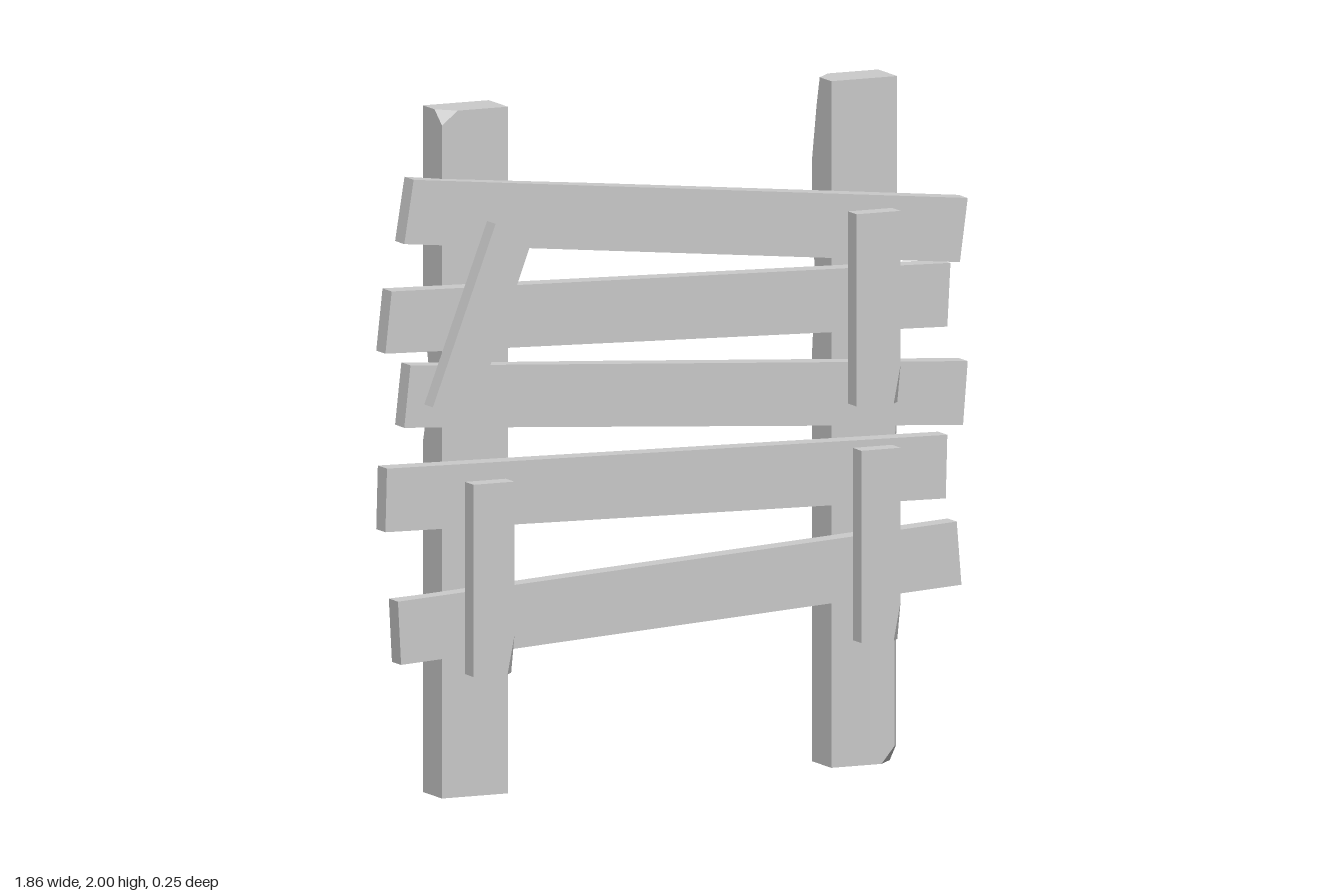
import * as THREE from 'three';

const material = new THREE.MeshStandardMaterial({ color: 0xcccccc, flatShading: true });

// Hewn timber lofted between two end edges, each [l, r] in the xy plane.
// levels: [t, frontL, frontR, backR, backL] = chip depth on each long edge at t along the bar.
function timber(name, [l0, r0], [l1, r1], zBack, zFront, levels) {
  const mix = (a, b, t) => [a[0] + (b[0] - a[0]) * t, a[1] + (b[1] - a[1]) * t];
  const rings = levels.map(([t, a, b, c, d]) => {
    const l = mix(l0, l1, t), r = mix(r0, r1, t);
    const w = Math.hypot(r[0] - l[0], r[1] - l[1]);
    const at = (s, z) => new THREE.Vector3(...mix(l, r, s / w), z);
    return [
      at(0, zFront - a), at(a, zFront), at(w - b, zFront), at(w, zFront - b),
      at(w, zBack + c), at(w - c, zBack), at(d, zBack), at(0, zBack + d),
    ];
  });
  const pos = [];
  const tri = (a, b, c) => {
    if (new THREE.Triangle(a, b, c).getArea() < 1e-7) return;
    for (const p of [a, b, c]) pos.push(p.x, p.y, p.z);
  };
  for (let i = 0; i + 1 < rings.length; i++) {
    const A = rings[i], B = rings[i + 1];
    for (let j = 0; j < 8; j++) {
      const k = (j + 1) % 8;
      tri(A[j], A[k], B[k]);
      tri(A[j], B[k], B[j]);
    }
  }
  // end caps
  const first = rings[0], last = rings[rings.length - 1];
  for (let j = 1; j < 7; j++) {
    tri(first[0], first[j + 1], first[j]);
    tri(last[0], last[j], last[j + 1]);
  }
  const geometry = new THREE.BufferGeometry();
  geometry.setAttribute('position', new THREE.Float32BufferAttribute(pos, 3));
  geometry.computeVertexNormals();
  const mesh = new THREE.Mesh(geometry, material);
  mesh.name = name;
  return mesh;
}

const upright = (name, x0, x1, y0, y1, zBack, zFront, levels) =>
  timber(name, [[x0, y0], [x1, y0]], [[x0, y1], [x1, y1]], zBack, zFront, levels);

export function createModel() {
  const group = new THREE.Group();
  group.name = 'brokenFence';

  // Posts with chipped edges
  group.add(
    upright('rightPost', -0.72, -0.51, 0, 2, -0.127, 0, [
      [0, 0, 0, 0.05, 0], [0.09, 0, 0, 0.02, 0], [0.14, 0, 0, 0, 0],
      [0.29, 0, 0, 0, 0], [0.35, 0, 0.035, 0, 0], [0.41, 0, 0, 0, 0],
      [0.51, 0, 0, 0, 0], [0.6, 0, 0, 0, 0.05], [0.7, 0, 0, 0, 0],
      [0.98, 0, 0, 0, 0], [1, 0.05, 0, 0, 0],
    ]),
    upright('leftPost', 0.52, 0.73, 0, 2, -0.127, 0, [
      [0, 0, 0.05, 0, 0], [0.025, 0, 0.008, 0, 0],
      [0.265, 0, 0.008, 0, 0], [0.36, 0, 0.01, 0.055, 0], [0.45, 0, 0.008, 0, 0],
      [0.6, 0, 0, 0, 0], [0.7, 0, 0.01, 0, 0.02], [0.8, 0, 0, 0, 0],
      [0.88, 0, 0, 0, 0], [0.96, 0, 0, 0, 0.03], [1, 0, 0, 0, 0.05],
    ]),
  );

  // Crooked planks: [top, bottom] of the right end, then of the left end, and a chip depth
  const planks = [
    [[[-0.84, 1.82], [-0.87, 1.635]], [[0.925, 1.64], [0.9, 1.455]], 0.02],
    [[[-0.91, 1.5], [-0.93, 1.32]], [[0.87, 1.455], [0.86, 1.27]], 0],
    [[[-0.85, 1.28], [-0.87, 1.1]], [[0.925, 1.165], [0.91, 0.98]], 0.012],
    [[[-0.925, 0.985], [-0.93, 0.8]], [[0.86, 0.955], [0.855, 0.77]], 0],
    [[[-0.89, 0.595], [-0.88, 0.41]], [[0.89, 0.7], [0.905, 0.515]], 0.008],
  ];
  planks.forEach(([start, end, chip], i) => group.add(
    timber(`plank${i + 1}`, start, end, 0.001, 0.062,
      [[0, 0, 0, 0, 0], [0.06, 0, 0, 0, chip], [0.35, 0, 0, 0, 0], [1, 0, 0, 0, 0]]),
  ));

  // Short battens nailed over the planks, one hanging askew
  const chipped = [[0, 0, 0.022, 0, 0], [0.2, 0, 0, 0, 0], [1, 0, 0, 0, 0]];
  const plain = [[0, 0, 0, 0, 0], [1, 0, 0, 0, 0]];
  group.add(
    timber('looseBatten', [[-0.81, 1.165], [-0.685, 1.12]], [[-0.61, 1.685], [-0.49, 1.64]],
      0.07, 0.127, plain),
    upright('upperBatten', 0.54, 0.68, 1.07, 1.63, 0.07, 0.127, chipped),
    upright('lowerRightBatten', -0.68, -0.55, 0.37, 0.93, 0.07, 0.127, chipped),
    upright('lowerLeftBatten', 0.555, 0.68, 0.38, 0.94, 0.07, 0.127, chipped),
  );
  return group;
}
